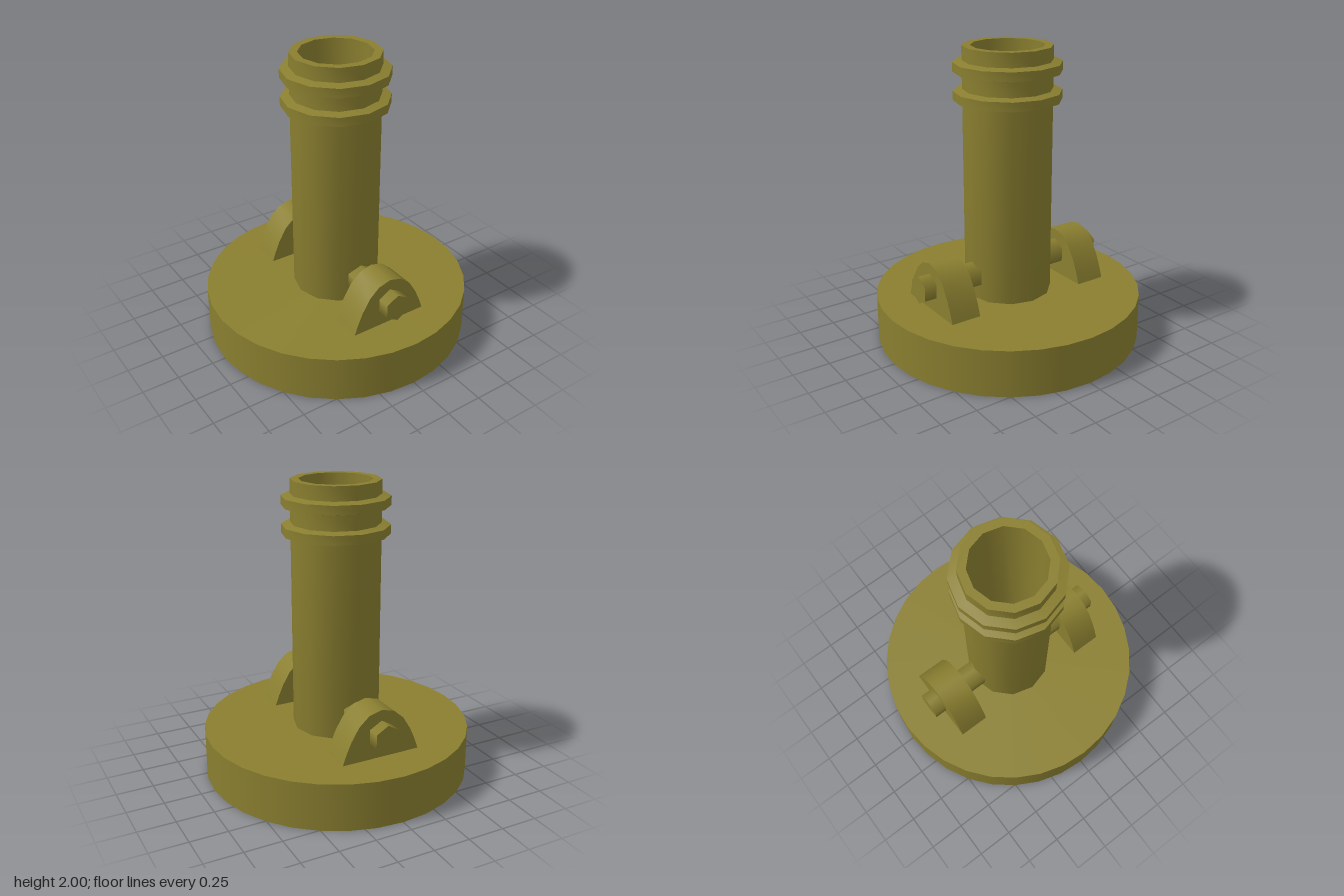
import * as THREE from 'three';
import { toCreasedNormals } from 'three/addons/utils/BufferGeometryUtils.js';

const material = new THREE.MeshStandardMaterial({ color: 0x8a7f30, side: THREE.DoubleSide });

function addMesh(parent, name, geometry) {
  const mesh = new THREE.Mesh(geometry, material);
  mesh.name = name;
  parent.add(mesh);
  return mesh;
}

// Lathe profile: rounded foot, tube with two collars, then the bore going back down
function barrelGeometry() {
  const r = 0.295, collar = 0.355, bore = 0.24, floor = 0.32;
  const profile = [];
  for (let i = 0; i <= 5; i++) {
    const a = (i / 5) * Math.PI / 2;
    profile.push([r * Math.sin(a), floor - 0.25 * Math.cos(a)]);
  }
  for (const y of [1.635, 1.82]) {
    profile.push([r, y], [collar, y + 0.013], [collar, y + 0.073], [r, y + 0.086]);
  }
  profile.push([r, 2], [bore, 2], [bore, floor]);
  const points = profile.map(([x, y]) => new THREE.Vector2(x, y));
  return toCreasedNormals(new THREE.LatheGeometry(points, 12), 0.6);
}

// Arch outline from the left foot over the top to the right foot
const halfArch = [[0.29, 0.275], [0.275, 0.32], [0.25, 0.39], [0.215, 0.47], [0.16, 0.56], [0.09, 0.622]];
const arch = [
  ...halfArch.map(([x, y]) => new THREE.Vector2(-x, y)),
  new THREE.Vector2(0, 0.647),
  ...halfArch.map(([x, y]) => new THREE.Vector2(x, y)).reverse(),
];

// Curved strip following the arch
function archStrip(depth) {
  const strip = new THREE.PlaneGeometry(1, depth, arch.length - 1, 1);
  const pos = strip.attributes.position;
  for (let i = 0; i < pos.count; i++) {
    const p = arch[i % arch.length];
    pos.setXYZ(i, p.x, p.y, -pos.getY(i));
  }
  strip.computeVertexNormals();
  return strip;
}

// Bracket with an open underside, and the hexagonal pin through it
function createMount(name) {
  const mount = new THREE.Group();
  mount.name = name;
  const depth = 0.21, z = 0.515;
  addMesh(mount, 'bracketArch', archStrip(depth)).position.z = z;
  const cheek = new THREE.ShapeGeometry(new THREE.Shape(arch));
  addMesh(mount, 'bracketOuterCheek', cheek).position.z = z + depth / 2;
  const inner = addMesh(mount, 'bracketInnerCheek', cheek);
  inner.position.z = z - depth / 2;
  inner.rotation.y = Math.PI;

  const pin = new THREE.CylinderGeometry(0.096, 0.096, 0.435, 6);
  pin.rotateX(Math.PI / 2);
  addMesh(mount, 'pin', pin).position.set(0, 0.478, 0.4875);
  return mount;
}

export function createModel() {
  const model = new THREE.Group();
  model.name = 'mountedBarrel';

  // Hollow base: thin wall and top plate, open below
  const base = new THREE.Group();
  base.name = 'base';
  model.add(base);
  const radius = 0.906, height = 0.32;
  addMesh(base, 'baseWall', new THREE.CylinderGeometry(radius, radius, height, 32, 1, true)).position.y = height / 2;
  const plate = addMesh(base, 'basePlate', new THREE.CircleGeometry(radius, 32).rotateX(-Math.PI / 2));
  plate.position.y = height;

  addMesh(model, 'barrel', barrelGeometry());

  // Front and back mounts
  const front = createMount('frontMount');
  const back = createMount('backMount');
  back.rotation.y = Math.PI;
  model.add(front, back);
  return model;
}
